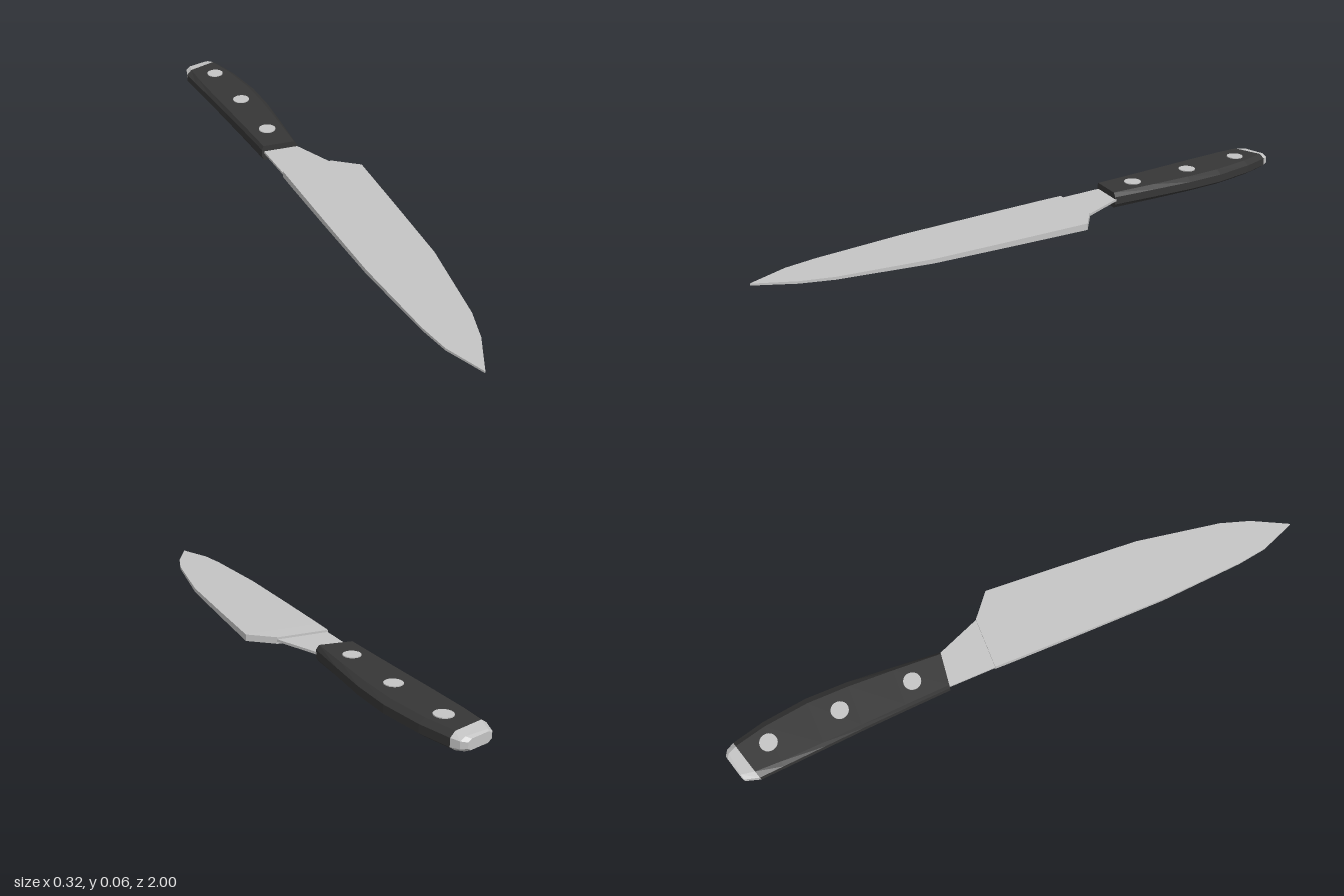
import * as THREE from 'three';

// Skin a list of closed rings (counterclockwise seen from +z, ordered towards +z) with flat end faces
function loft(rings) {
  const pos = [];
  const tri = (a, b, c) => pos.push(...a, ...b, ...c);
  const n = rings[0].length;
  for (let r = 0; r < rings.length - 1; r++) {
    const a = rings[r], b = rings[r + 1];
    for (let i = 0; i < n; i++) {
      const j = (i + 1) % n;
      tri(a[i], a[j], b[j]);
      tri(a[i], b[j], b[i]);
    }
  }
  const first = rings[0], last = rings[rings.length - 1];
  for (let i = 1; i < n - 1; i++) {
    tri(first[0], first[i + 1], first[i]);
    tri(last[0], last[i], last[i + 1]);
  }
  const g = new THREE.BufferGeometry();
  g.setAttribute('position', new THREE.Float32BufferAttribute(pos, 3));
  g.computeVertexNormals();
  return g;
}

// Flat rectangular section for blade and tang
const BLADE_Y = 0.034;
const slab = ([z, xl, xr, h]) => [
  [xl, BLADE_Y - h, z], [xr, BLADE_Y - h, z], [xr, BLADE_Y + h, z], [xl, BLADE_Y + h, z],
];

// Bevelled eight-sided grip section, slanted from zl on the left edge to zr on the right
const GRIP_Y = 0.032;
const octagon = ([zl, zr, xl, xr, bl, br, h = 0.027, s = 0.013]) => {
  const p = (x, y) => [x, GRIP_Y + y, zl + (zr - zl) * (x - xl) / (xr - xl)];
  return [
    p(xl + bl, -h), p(xr - br, -h), p(xr, -s), p(xr, s),
    p(xr - br, h), p(xl + bl, h), p(xl, s), p(xl, -s),
  ];
};

export function createModel() {
  const model = new THREE.Group();
  const steel = new THREE.MeshStandardMaterial({ color: 0xc4c4c4 });
  steel.name = 'steel';
  const black = new THREE.MeshStandardMaterial({ color: 0x363636 });
  black.name = 'blackGrip';

  const add = (name, geometry, material) => {
    const mesh = new THREE.Mesh(geometry, material);
    mesh.name = name;
    model.add(mesh);
    return mesh;
  };

  // Blade: z, left x, right x, half thickness
  add('blade', loft([
    [-0.11, -0.095, 0.08, 0.011],
    [-0.045, -0.094, 0.162, 0.011],
    [0.2, -0.088, 0.155, 0.0092],
    [0.49, -0.079, 0.145, 0.007],
    [0.78, -0.054, 0.103, 0.0045],
    [0.88, -0.037, 0.073, 0.0038],
    [1.0, 0.012, 0.014, 0.003],
  ].map(slab)), steel);

  // Thin tang between blade and grip
  add('tang', loft([
    [-0.3, -0.1, 0.008, 0.004],
    [-0.255, -0.1, 0.018, 0.004],
    [-0.105, -0.094, 0.083, 0.004],
  ].map(slab)), steel);

  // Grip: left z, right z, left x, right x, left bevel, right bevel
  const gripEnd = [-0.92, -0.965, -0.163, -0.026, 0.02, 0.018];
  add('grip', loft([
    gripEnd,
    [-0.84, -0.86, -0.156, 0.004, 0.014, 0.02],
    [-0.7, -0.71, -0.143, 0.028, 0.01, 0.021],
    [-0.57, -0.57, -0.131, 0.032, 0.008, 0.02],
    [-0.42, -0.42, -0.119, 0.025, 0.007, 0.015],
    [-0.27, -0.257, -0.108, 0.016, 0.006, 0.01],
  ].map(octagon)), black);

  // Steel end cap, tapering backwards
  add('endCap', loft([
    [-0.972, -1.0, -0.146, -0.058, 0.012, 0.012, 0.016, 0.009],
    [-0.968, -0.99, -0.15, -0.04, 0.016, 0.016, 0.021, 0.011],
    gripEnd,
  ].map(octagon)), steel);

  // Rivets through the grip
  for (const [x, z] of [[-0.07, -0.86], [-0.053, -0.62], [-0.047, -0.375]]) {
    const rivet = add('rivet', new THREE.CylinderGeometry(0.029, 0.029, 0.062, 20), steel);
    rivet.position.set(x, 0.031, z);
  }

  return model;
}
